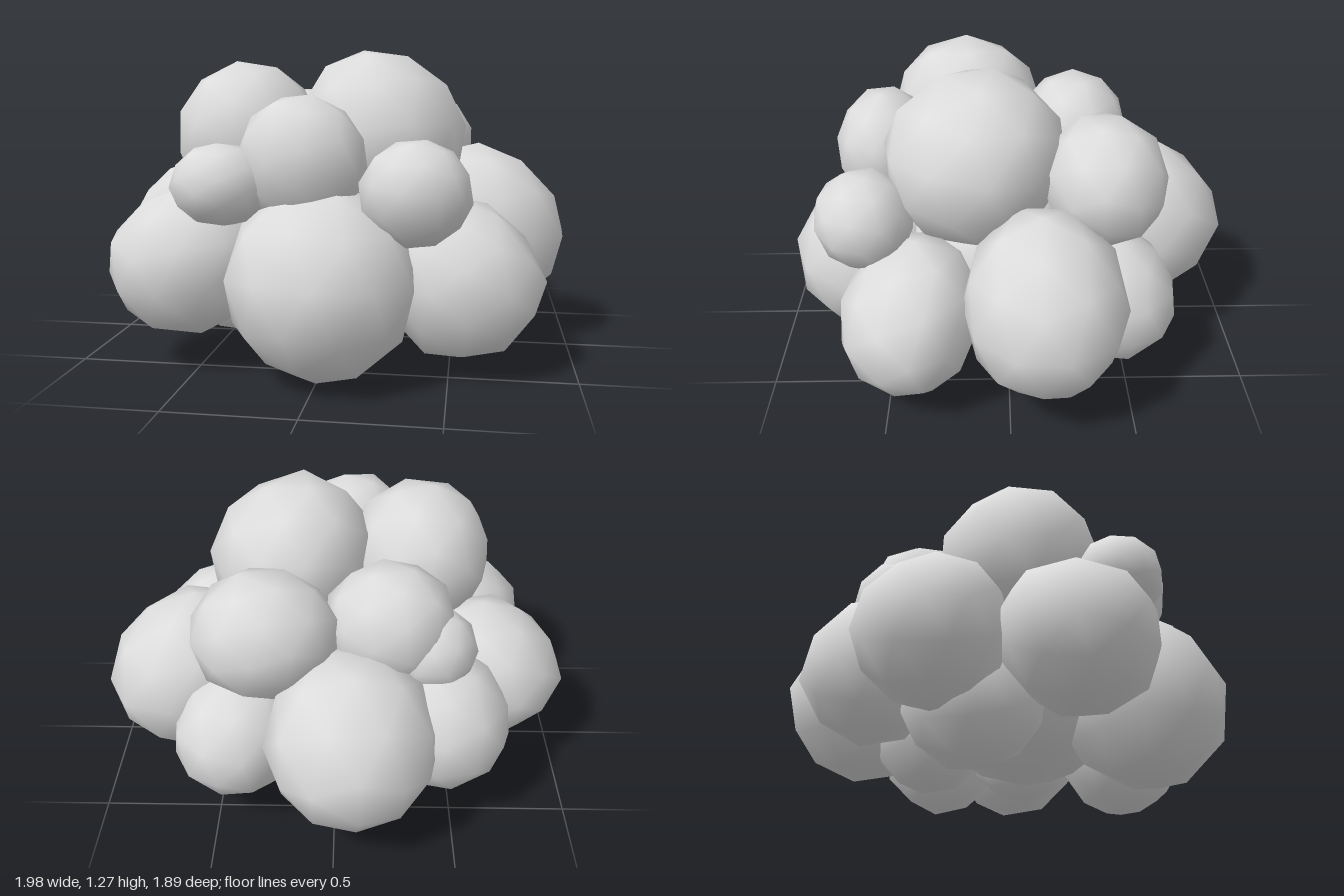
import * as THREE from 'three';
import { mergeVertices } from 'three/addons/utils/BufferGeometryUtils.js';

// Small seeded generator so every puff is lumpy in a repeatable way
function seeded(seed) {
  let s = seed;
  return () => (s = (s * 16807) % 2147483647) / 2147483647;
}

// Coarse lumpy ball with smooth normals; its top leans sideways by leanX and leanZ
function puffGeometry([rx, ry, rz], leanX, leanZ, seed) {
  const rnd = seeded(seed * 7919 + 13);
  rnd();
  let geo = new THREE.IcosahedronGeometry(1, 1);
  geo.deleteAttribute('uv');
  geo.deleteAttribute('normal');
  geo = mergeVertices(geo, 1e-4);
  geo.rotateX(rnd() * 6.28);
  geo.rotateY(rnd() * 6.28);
  const pos = geo.attributes.position;
  const v = new THREE.Vector3();
  for (let i = 0; i < pos.count; i++) {
    v.fromBufferAttribute(pos, i).multiplyScalar(1.06 - 0.05 * rnd());
    const rise = Math.max(0, v.y);
    pos.setXYZ(i, v.x * rx + leanX * rise, v.y * ry, v.z * rz + leanZ * rise);
  }
  geo.computeVertexNormals();
  return geo;
}

export function createModel() {
  const group = new THREE.Group();
  group.name = 'cloud';
  const cloudGrey = new THREE.MeshStandardMaterial({ color: 0xdcdcdc });
  cloudGrey.name = 'cloudGrey';

  // lean: how far the top is drawn towards the middle of the cloud
  function addPuff(name, centre, radii, lean = 0) {
    const [x, , z] = centre;
    const geo = puffGeometry(radii, -x * lean, -z * lean, group.children.length + 1);
    const puff = new THREE.Mesh(geo, cloudGrey);
    puff.name = name;
    puff.position.set(...centre);
    group.add(puff);
  }

  // lower ring, leaning inwards
  addPuff('frontPuff', [0.01, 0.39, 0.6], [0.36, 0.37, 0.35], 0.11);
  addPuff('frontLeftPuff', [0.55, 0.38, 0.41], [0.31, 0.32, 0.28], 0.11);
  addPuff('leftPuff', [0.66, 0.5, -0.14], [0.33, 0.36, 0.32], 0.11);
  addPuff('backLeftPuff', [0.42, 0.39, -0.43], [0.26, 0.28, 0.27], 0.11);
  addPuff('backPuff', [-0.07, 0.5, -0.62], [0.34, 0.36, 0.34], 0.11);
  addPuff('backRightPuff', [-0.45, 0.46, -0.42], [0.28, 0.3, 0.28], 0.08);
  addPuff('rightPuff', [-0.69, 0.48, -0.08], [0.3, 0.31, 0.29], 0.1);
  addPuff('frontRightPuff', [-0.56, 0.44, 0.46], [0.32, 0.3, 0.3], 0.08);

  // underside and core
  addPuff('undersideRightPuff', [-0.42, 0.29, 0], [0.27, 0.27, 0.28]);
  addPuff('undersideLeftPuff', [0.28, 0.32, 0], [0.23, 0.24, 0.23]);
  addPuff('undersideBackPuff', [-0.08, 0.31, -0.3], [0.25, 0.26, 0.24]);
  addPuff('corePuff', [0, 0.45, 0.08], [0.5, 0.35, 0.42]);

  // crown
  addPuff('topLeftPuff', [0.2, 0.92, 0.14], [0.34, 0.35, 0.37], 0.2);
  addPuff('topRightPuff', [-0.36, 0.91, 0.17], [0.3, 0.31, 0.33]);
  addPuff('topBackLeftPuff', [0.28, 0.86, -0.39], [0.29, 0.26, 0.25]);
  addPuff('topBackRightPuff', [-0.22, 0.86, -0.3], [0.26, 0.25, 0.24]);

  // small front and back lumps
  addPuff('upperFrontPuff', [-0.07, 0.85, 0.52], [0.25, 0.25, 0.21]);
  addPuff('smallFrontLeftPuff', [0.37, 0.74, 0.58], [0.21, 0.2, 0.2]);
  addPuff('smallFrontRightPuff', [-0.38, 0.76, 0.59], [0.19, 0.16, 0.17]);
  addPuff('smallBackRightPuff', [-0.39, 0.77, -0.36], [0.18, 0.18, 0.17]);
  return group;
}
